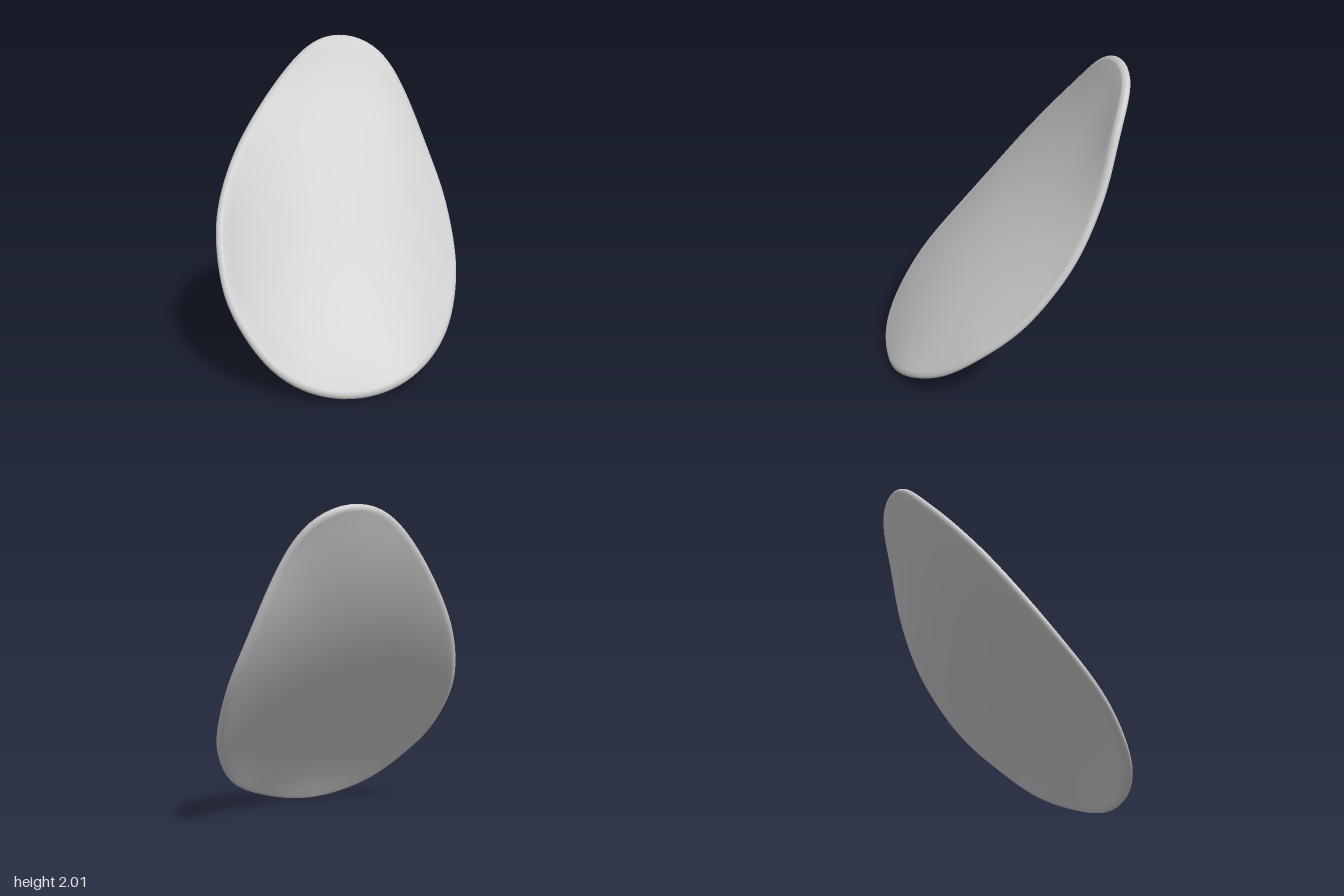
import * as THREE from 'three';
import { mergeVertices } from 'three/addons/utils/BufferGeometryUtils.js';

// Rim of the egg-shaped plate: from the tip down the back edge, up the front edge
const RIM = [
  [-0.55, 2, -0.5], [-0.49, 1.985, -0.59], [-0.41, 1.93, -0.675], [-0.3, 1.82, -0.735], [-0.16, 1.58, -0.78],
  [-0.02, 1.3, -0.8], [0.195, 0.95, -0.76], [0.43, 0.6, -0.6], [0.58, 0.38, -0.4], [0.66, 0.21, -0.2],
  [0.69, 0.09, 0.05], [0.65, 0.02, 0.25], [0.55, -0.005, 0.44], [0.46, 0.005, 0.56],
  [0.36, 0.05, 0.66], [0.25, 0.11, 0.735], [0.12, 0.2, 0.78], [-0.04, 0.34, 0.8], [-0.22, 0.5, 0.775],
  [-0.38, 0.68, 0.7], [-0.53, 0.89, 0.59], [-0.645, 1.18, 0.4], [-0.685, 1.43, 0.2],
  [-0.69, 1.65, 0], [-0.665, 1.85, -0.2], [-0.635, 1.935, -0.3], [-0.6, 1.98, -0.4],
].map((p) => new THREE.Vector3(...p));
const SIDES = 128;
const WAVES = 12;
const HALF = 0.028; // half the thickness at the rim
const SWELL = 0.01; // extra half thickness in the middle
const EDGE = 0.04; // depth of the rounded edge
const INSET = 0.042;
const NORMAL = new THREE.Vector3(0.764, 0.563, 0.317).normalize();

// Rows of the skin: upper face outwards, round the edge, lower face inwards
function skinRows() {
  const rows = [];
  const face = (i, side) => rows.push({ rho: i / 20, out: 0, up: side * (HALF + SWELL * (1 - (i / 20) ** 2)) });
  for (let i = 0; i <= 20; i++) face(i, 1);
  for (let i = 1; i < 12; i++) {
    const a = Math.PI * (0.5 - i / 12);
    rows.push({ rho: 1, out: EDGE * Math.cos(a), up: HALF * Math.sin(a) });
  }
  for (let i = 20; i >= 0; i--) face(i, -1);
  return rows;
}

// Waves around the rim; each fades towards the middle by its own power of the radius
function rimWaves(rim) {
  const waves = [];
  for (let k = 0; k <= WAVES; k++) {
    const wave = { cos: new THREE.Vector3(), sin: new THREE.Vector3() };
    const weight = (k ? 2 : 1) / SIDES;
    rim.forEach(({ point }, j) => {
      const a = (2 * Math.PI * k * j) / SIDES;
      wave.cos.addScaledVector(point, weight * Math.cos(a));
      wave.sin.addScaledVector(point, weight * Math.sin(a));
    });
    waves.push(wave);
  }
  return waves;
}

// Lift of the middle: the broad end bulges up, the tip end dishes down
function crown(rho, angle) {
  return (1 - rho * rho) * (0.015 - 0.1 * rho * Math.cos(angle));
}

function plateGeometry() {
  const curve = new THREE.CatmullRomCurve3(RIM, true, 'centripetal');
  const rim = [];
  for (let j = 0; j < SIDES; j++) {
    const out = NORMAL.clone().cross(curve.getTangentAt(j / SIDES)).normalize();
    rim.push({ point: curve.getPointAt(j / SIDES).addScaledVector(out, -INSET), out });
  }
  const waves = rimWaves(rim);
  const positions = [], index = [];
  const rows = skinRows();
  rows.forEach(({ rho, out, up }, i) => {
    for (let j = 0; j < SIDES; j++) {
      const angle = (2 * Math.PI * j) / SIDES;
      const p = new THREE.Vector3();
      waves.forEach((wave, k) => {
        const fade = rho ** k;
        p.addScaledVector(wave.cos, fade * Math.cos(k * angle)).addScaledVector(wave.sin, fade * Math.sin(k * angle));
      });
      p.addScaledVector(rim[j].out, out).addScaledVector(NORMAL, up + crown(rho, angle));
      positions.push(p.x, p.y, p.z);
      if (i === rows.length - 1) continue;
      const next = (j + 1) % SIDES, a = i * SIDES, b = a + SIDES;
      if (i > 0) index.push(a + j, a + next, b + j);
      if (i < rows.length - 2) index.push(a + next, b + next, b + j);
    }
  });
  // The first and last rows are single points, so weld them
  const geometry = new THREE.BufferGeometry();
  geometry.setAttribute('position', new THREE.Float32BufferAttribute(positions, 3));
  geometry.setIndex(index);
  const welded = mergeVertices(geometry, 1e-4);
  welded.computeVertexNormals();
  return welded;
}

export function createModel() {
  const group = new THREE.Group();
  group.name = 'curvedPlate';
  const plate = new THREE.Mesh(plateGeometry(), new THREE.MeshStandardMaterial({ color: 0xcccccc }));
  plate.name = 'plate';
  group.add(plate);
  return group;
}
